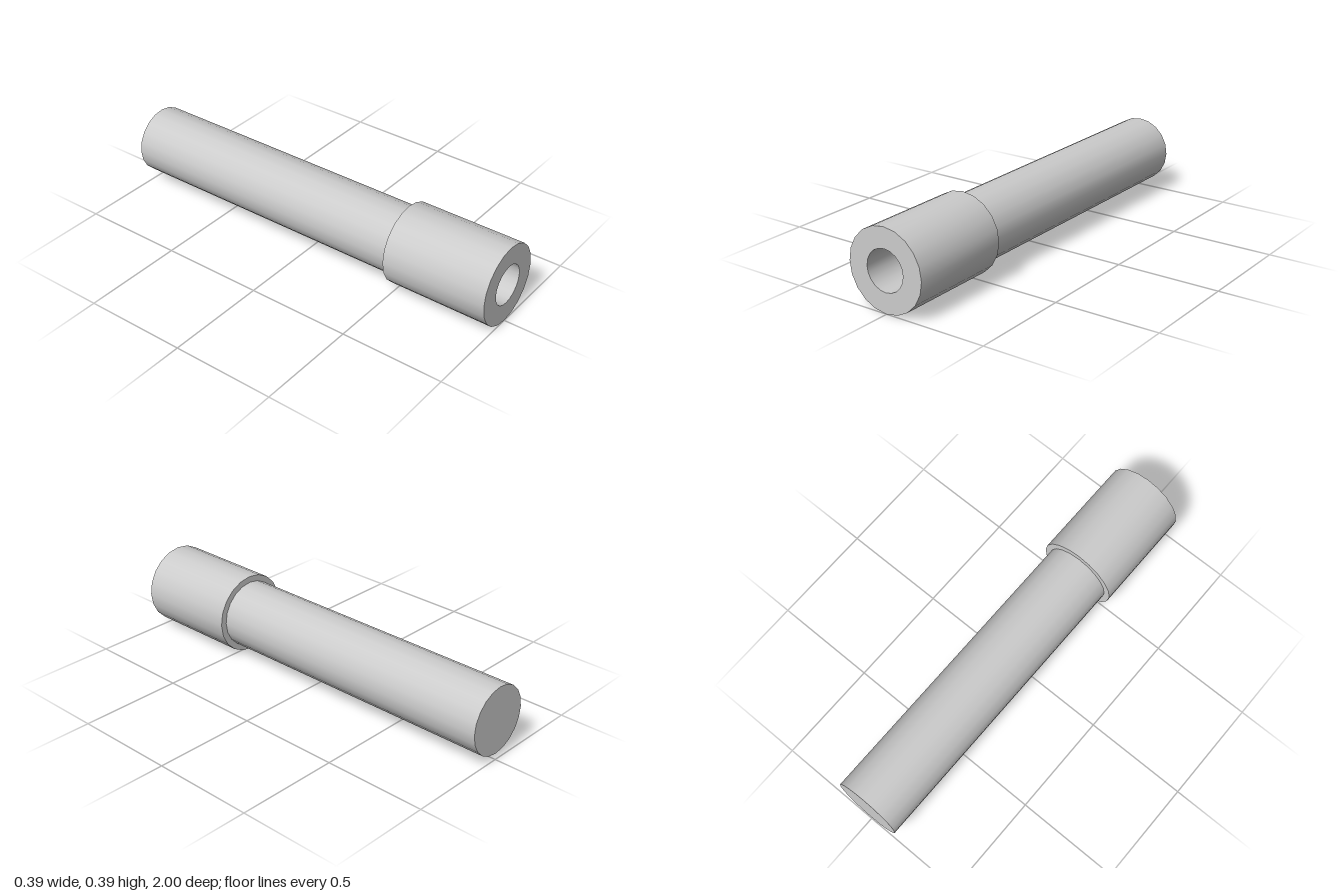
import * as THREE from 'three';
import { toCreasedNormals } from 'three/addons/utils/BufferGeometryUtils.js';

const SIDES = 20;
const COLLAR_RADIUS = 0.1935;
const BORE_RADIUS = 0.097;
const BARREL_RADIUS = 0.163;
const BACK = -1, STEP = 0.484, FRONT = 1;

export function createModel() {
  const group = new THREE.Group();
  const material = new THREE.MeshStandardMaterial({ color: 0xcccccc });

  // Adds a part turned around y, laid along z at the height of the axis
  const add = (name, geometry) => {
    const mesh = new THREE.Mesh(geometry.rotateX(Math.PI / 2), material);
    mesh.name = name;
    mesh.position.y = COLLAR_RADIUS;
    group.add(mesh);
  };

  // Long solid barrel; its front cap closes the bore
  const length = STEP - BACK;
  add('barrel', new THREE.CylinderGeometry(BARREL_RADIUS, BARREL_RADIUS, length, SIDES)
    .translate(0, BACK + length / 2, 0));

  // Wider hollow collar at the front
  const profile = [
    [COLLAR_RADIUS, STEP], [COLLAR_RADIUS, FRONT],
    [BORE_RADIUS, FRONT], [BORE_RADIUS, STEP], [COLLAR_RADIUS, STEP],
  ].map(([r, y]) => new THREE.Vector2(r, y));
  add('collar', toCreasedNormals(new THREE.LatheGeometry(profile, SIDES), 0.6));

  return group;
}
